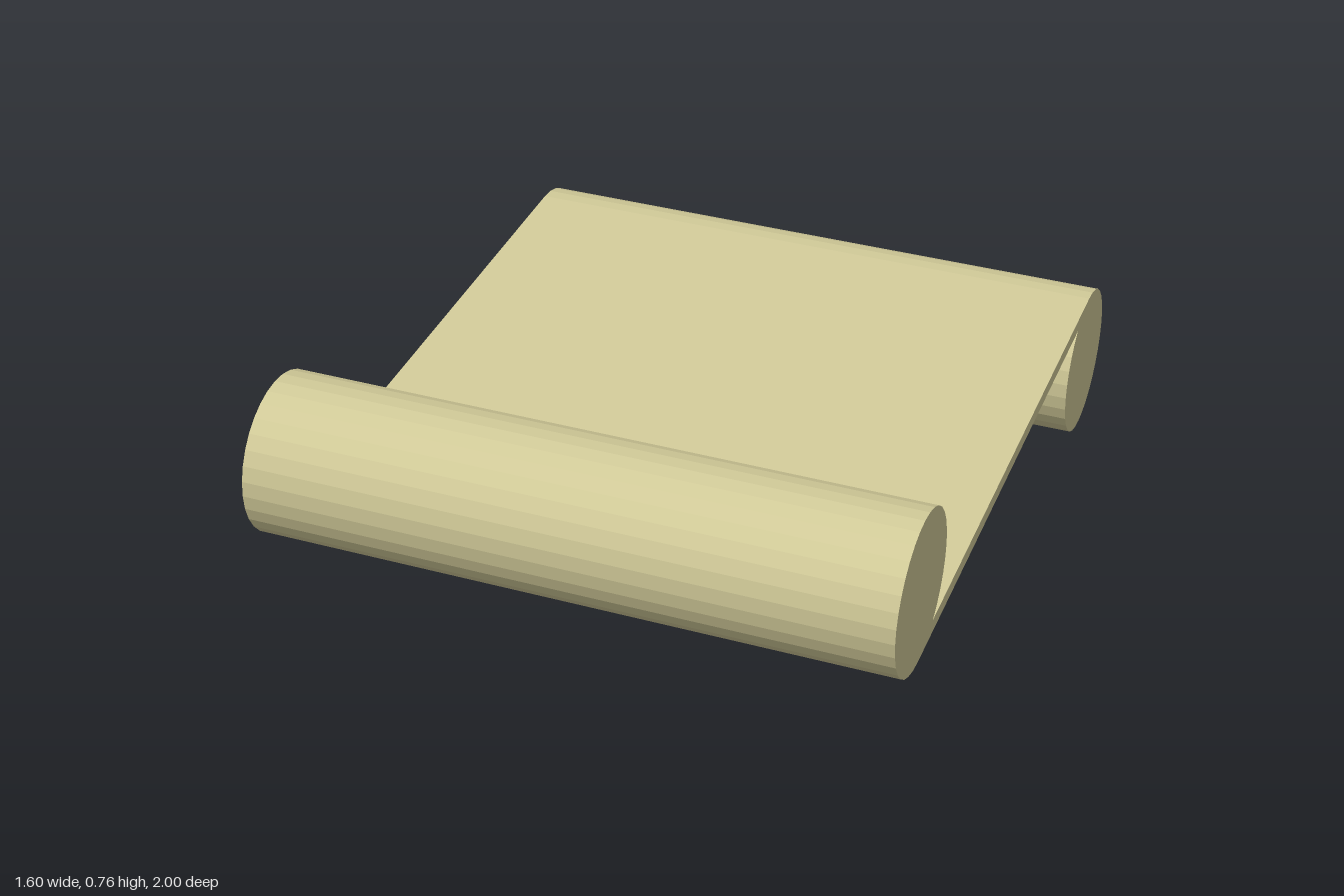
import * as THREE from 'three';

const WIDTH = 1.6, RADIUS = 0.2, THICKNESS = 0.036, SIDES = 32;
const ROLL_Z = 0.8;                       // distance of each roll's axis from the centre
const MID_Y = 2 * RADIUS - THICKNESS / 2; // middle height of the flat sheet

// Side outline of the front roll, from its underside round to where it meets the sheet's top.
function rollOutline() {
  const end = 2 * Math.PI - Math.acos((RADIUS - THICKNESS) / RADIUS);
  const step = (2 * Math.PI) / SIDES;
  const axisY = RADIUS - THICKNESS / 2;   // relative to the middle of the sheet
  const points = [];
  const add = (a) => points.push(new THREE.Vector2(
    ROLL_Z + RADIUS * Math.sin(a), axisY - RADIUS * Math.cos(a)));
  for (let a = 0; a < end - 0.01; a += step) add(a);
  add(end);
  return points;
}

export function createModel() {
  const group = new THREE.Group();
  group.name = 'scroll';

  // The back roll is the front one turned half round; the sheet joins the two.
  const front = rollOutline();
  const back = front.map((p) => p.clone().negate());
  const outline = new THREE.Shape([...front, ...back]);

  // Extrude across the width, then turn the outline to run along z.
  const geometry = new THREE.ExtrudeGeometry(outline, { depth: WIDTH, bevelEnabled: false });
  geometry.translate(0, MID_Y, -WIDTH / 2);
  geometry.rotateY(-Math.PI / 2);

  const paper = new THREE.MeshStandardMaterial({ color: 0xd6cf9c, flatShading: true });
  const scroll = new THREE.Mesh(geometry, paper);
  scroll.name = 'rolledSheet';
  group.add(scroll);
  return group;
}
